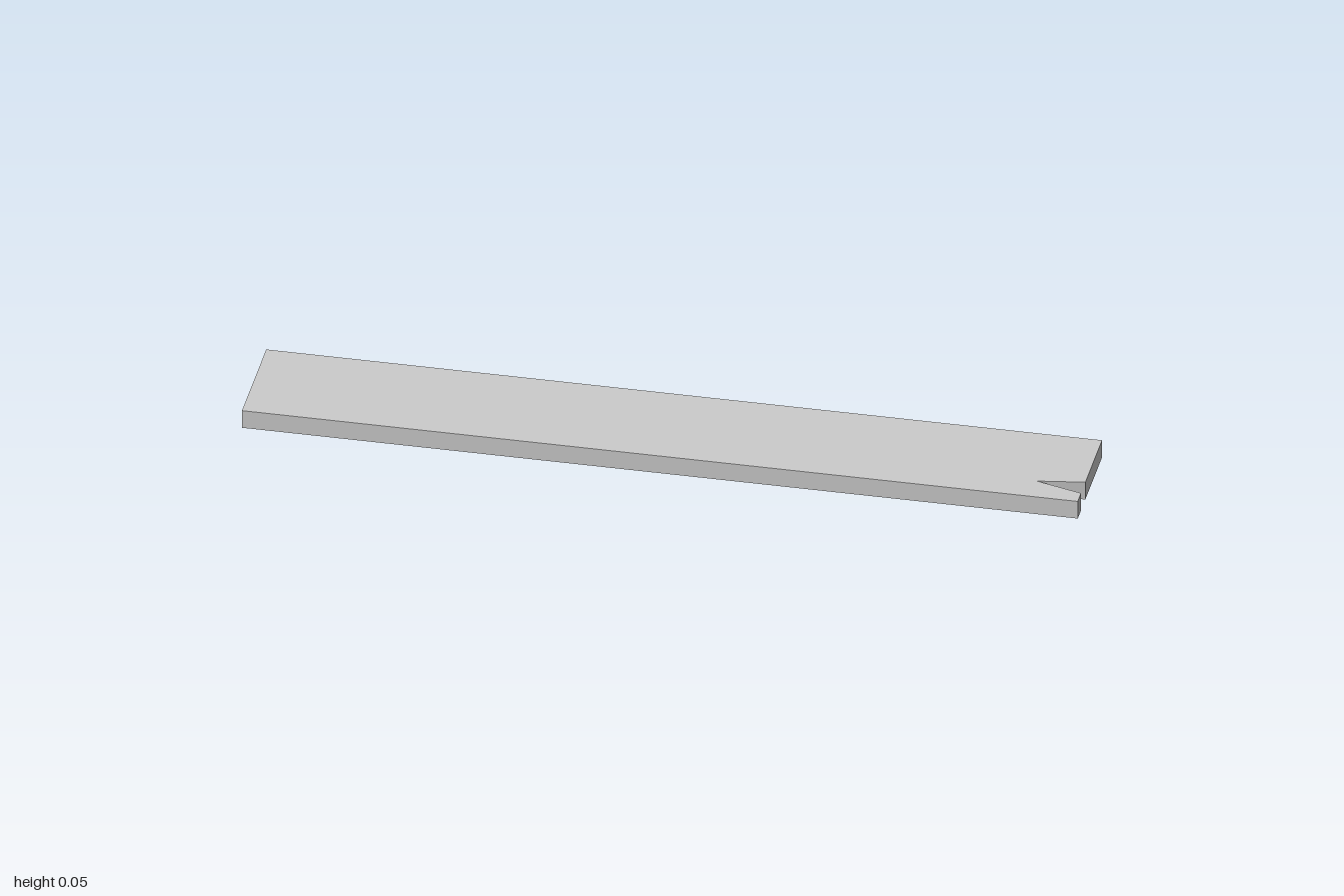
import * as THREE from 'three';

const HALF_LENGTH = 1;
const HALF_WIDTH = 0.14;
const THICKNESS = 0.047;

export function createModel() {
  const group = new THREE.Group();
  group.name = 'plank';

  // Plank outline seen from above, drawn as (x, -z), with a split in the left end
  const outline = new THREE.Shape([
    [-HALF_LENGTH, -HALF_WIDTH],
    [HALF_LENGTH, -HALF_WIDTH],
    [HALF_LENGTH, -0.102],
    [0.888, -0.07], // tip of the split
    [HALF_LENGTH, -0.052],
    [HALF_LENGTH, HALF_WIDTH],
    [-HALF_LENGTH, HALF_WIDTH],
  ].map(([x, y]) => new THREE.Vector2(x, y)));

  // Extrude upwards from the ground
  const geometry = new THREE.ExtrudeGeometry(outline, { depth: THICKNESS, bevelEnabled: false });
  geometry.rotateX(-Math.PI / 2);

  const board = new THREE.Mesh(
    geometry,
    new THREE.MeshStandardMaterial({ color: 0xcccccc, flatShading: true }),
  );
  board.name = 'splitBoard';
  group.add(board);
  return group;
}
